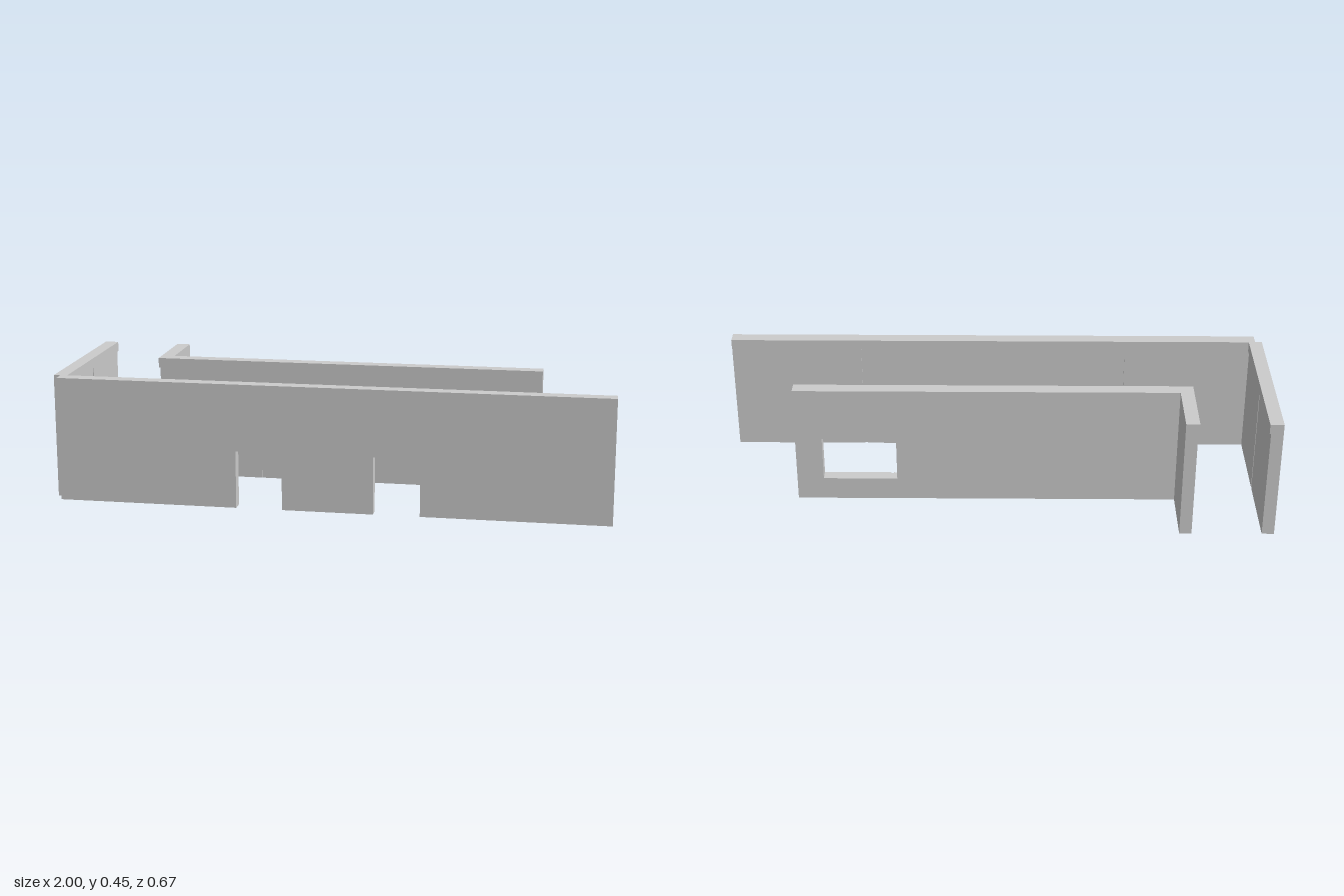
import * as THREE from 'three';

const HEIGHT = 0.45, LEDGE = 0.414;      // wall top, underside of the cap
const BODY = 0.044, CAP = 0.049;         // thickness below and at the cap
const GROOVE = 0.005;                    // half width and depth of panel seams
const material = new THREE.MeshStandardMaterial({ color: 0xcccccc, flatShading: true });

// Elevation of a wall stretch; openings are [u0, u1, y0, y1], clipped to the stretch
function elevation(u0, u1, openings) {
  const bottom = [[u0, 0]], right = [], left = [], holes = [];
  for (const [a, b, y0, y1] of openings) {
    const l = Math.max(a, u0), r = Math.min(b, u1);
    if (l >= r) continue;
    if (y0 <= 0) bottom.push([l, 0], [l, y1], [r, y1], [r, 0]);
    else if (b > u1) right.push([u1, y0], [l, y0], [l, y1], [u1, y1]);
    else if (a < u0) left.push([u0, y1], [r, y1], [r, y0], [u0, y0]);
    else holes.push([[l, y0], [l, y1], [r, y1], [r, y0]]);
  }
  const toPoints = (list) => list.map(([x, y]) => new THREE.Vector2(x, y));
  const shape = new THREE.Shape(toPoints([
    ...bottom, [u1, 0], ...right, [u1, LEDGE], [u0, LEDGE], ...left]));
  shape.holes = holes.map((h) => new THREE.Path(toPoints(h)));
  return shape;
}

function addMesh(group, name, geometry) {
  const mesh = new THREE.Mesh(geometry, material);
  mesh.name = name;
  group.add(mesh);
}

// Wall along local x: outer face at z = 0, panelled inner face towards +z
function makeWall({ name, from, to, capFrom = from, capTo = to, seams = [], openings = [] }) {
  const wall = new THREE.Group();
  wall.name = name;

  // Core slab, whose inner face is the floor of the seams
  addMesh(wall, 'core', new THREE.ExtrudeGeometry(
    elevation(from, to, openings), { depth: BODY - GROOVE, bevelEnabled: false }));

  // Inner panels separated by narrow grooves
  const edges = [from, ...seams, to];
  for (let i = 0; i < edges.length - 1; i++) {
    const u0 = edges[i] + (i > 0 ? GROOVE : 0);
    const u1 = edges[i + 1] - (i < seams.length ? GROOVE : 0);
    const panel = new THREE.ExtrudeGeometry(
      elevation(u0, u1, openings), { depth: GROOVE, bevelEnabled: false });
    panel.translate(0, 0, BODY - GROOVE);
    addMesh(wall, 'innerPanel', panel);
  }

  // Cap overhanging the inner side
  const cap = new THREE.BoxGeometry(capTo - capFrom, HEIGHT - LEDGE, CAP);
  cap.translate((capFrom + capTo) / 2, (HEIGHT + LEDGE) / 2, CAP / 2);
  addMesh(wall, 'cap', cap);
  return wall;
}

export function createModel() {
  const model = new THREE.Group();
  model.name = 'corridorWalls';

  // Long front wall with two doorways
  const front = makeWall({
    name: 'frontWall', from: -1, to: 0.975,
    seams: [-0.506, -0.0125, 0.481],
    openings: [[-0.332, -0.166, 0, 0.208], [0.16, 0.326, 0, 0.208]],
  });
  front.rotation.y = Math.PI;
  front.position.z = 0.335;

  // End wall closing the corridor corner
  const end = makeWall({ name: 'endWall', from: -0.291, to: 0.335, seams: [0.026] });
  end.rotation.y = Math.PI / 2;
  end.position.x = -1;

  // Rear wall with a window
  const rear = makeWall({
    name: 'rearWall', from: -0.705, to: 0.727, capFrom: -0.71,
    seams: [-0.312, 0.034, 0.38],
    openings: [[0.36, 0.63, 0.085, 0.253]],
  });
  rear.position.z = -0.11;

  // Short return wall at the rear corner
  const stub = makeWall({ name: 'returnWall', from: -0.335, to: -0.11 });
  stub.rotation.y = -Math.PI / 2;
  stub.position.x = -0.661;

  model.add(front, end, rear, stub);
  return model;
}
